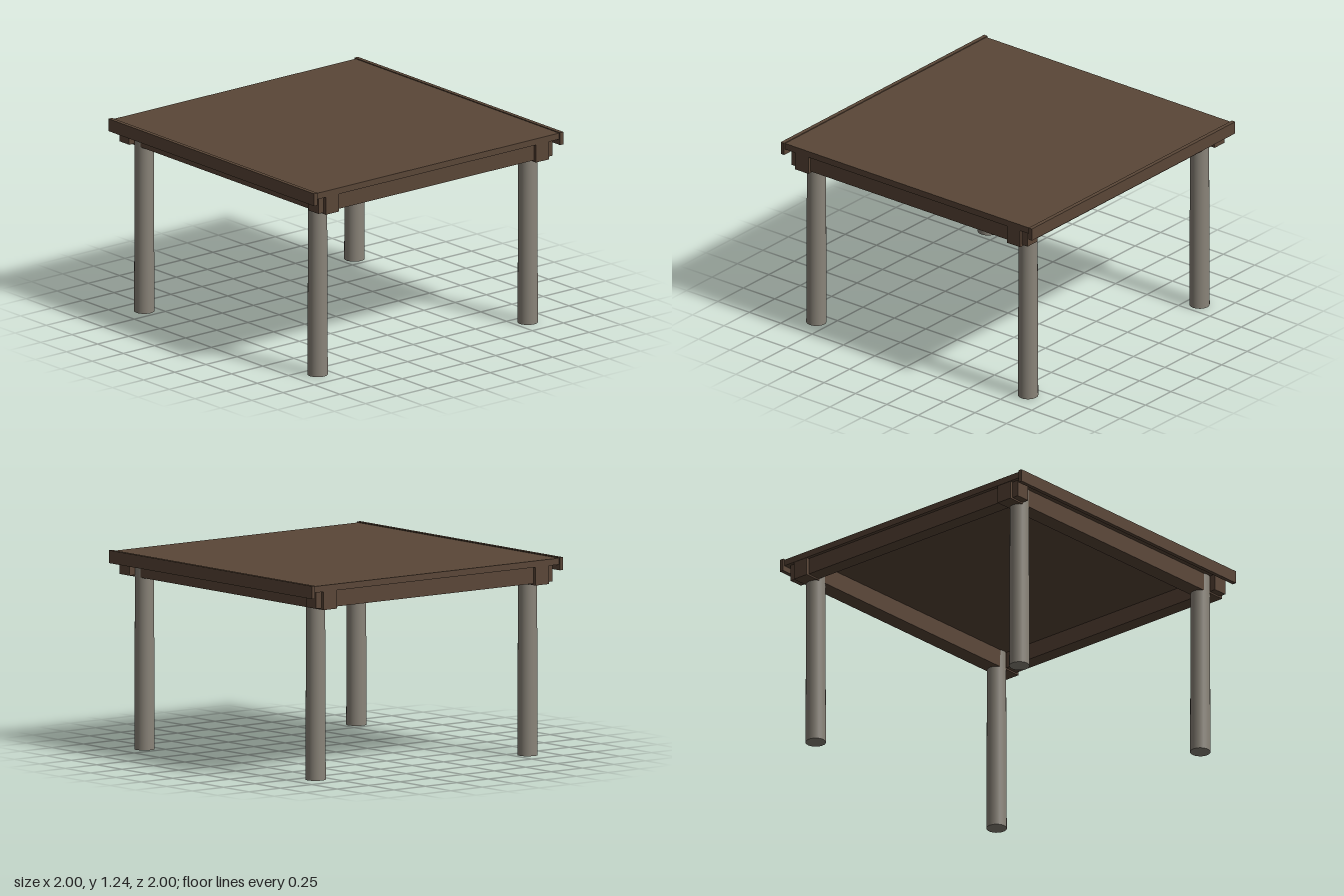
import * as THREE from 'three';

export function createModel() {
  const group = new THREE.Group();
  const wood = new THREE.MeshStandardMaterial({ color: 0x5a4637 });
  wood.name = 'dark brown wood';
  const post = new THREE.MeshStandardMaterial({ color: 0x8a8479 });
  post.name = 'weathered grey';

  // Box given by its extents on each axis
  function board(name, [x0, x1], [y0, y1], [z0, z1]) {
    const mesh = new THREE.Mesh(new THREE.BoxGeometry(x1 - x0, y1 - y0, z1 - z0), wood);
    mesh.position.set((x0 + x1) / 2, (y0 + y1) / 2, (z0 + z1) / 2);
    mesh.name = name;
    group.add(mesh);
  }
  // Extent pair mirrored to the given side
  const side = (s, a, b) => (s > 0 ? [a, b] : [-b, -a]);

  board('roofDeck', [-0.99, 0.99], [1.195, 1.235], [-0.975, 0.975]);

  for (const s of [-1, 1]) {
    const end = s > 0 ? 'front' : 'back';
    const flank = s > 0 ? 'left' : 'right';
    // Edge boards, cross beams and the side beams notched over them
    board(end + 'Fascia', [-1, 1], [1.16, 1.24], side(s, 0.973, 1));
    board(end + 'Beam', [-0.987, 0.987], [1.08, 1.196], side(s, 0.79, 0.896));
    board(flank + 'Beam', side(s, 0.872, 0.967), [1.09, 1.197], [-0.94, 0.94]);
  }

  // Slightly tapered round posts, tops set into the beams
  const postGeometry = new THREE.CylinderGeometry(0.059, 0.0635, 1.195, 24);
  for (const x of [-1, 1]) {
    for (const z of [-1, 1]) {
      const mesh = new THREE.Mesh(postGeometry, post);
      mesh.position.set(x * 0.843, 0.5975, z * 0.843);
      mesh.name = (z > 0 ? 'front' : 'back') + (x > 0 ? 'Left' : 'Right') + 'Post';
      group.add(mesh);
    }
  }
  return group;
}
